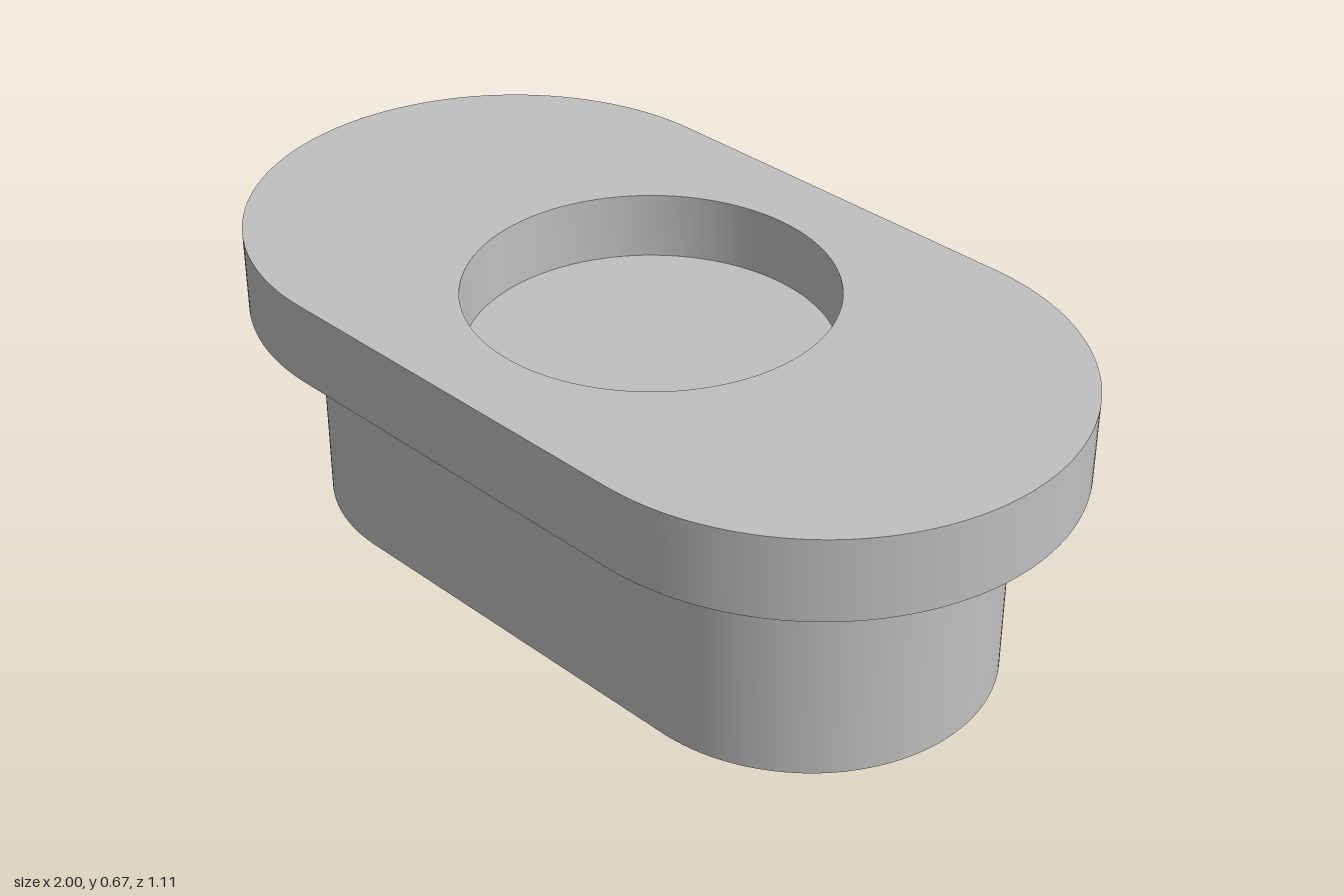
import * as THREE from 'three';
import { toCreasedNormals } from 'three/addons/utils/BufferGeometryUtils.js';

const HALF_STRAIGHT = 0.445; // distance from centre to each rounded end's axis

// Rounded slot outline with semicircular ends
function slotShape(radius) {
  const shape = new THREE.Shape();
  shape.absarc(HALF_STRAIGHT, 0, radius, -Math.PI / 2, Math.PI / 2, false);
  shape.absarc(-HALF_STRAIGHT, 0, radius, Math.PI / 2, Math.PI * 1.5, false);
  shape.closePath();
  return shape;
}

// Upright extrusion from y = bottom to y = top, smooth round its curves
function upright(shape, bottom, top) {
  const geometry = new THREE.ExtrudeGeometry(shape, {
    depth: top - bottom, bevelEnabled: false, curveSegments: 48,
  });
  geometry.rotateX(-Math.PI / 2).translate(0, bottom, 0);
  return toCreasedNormals(geometry, 0.5);
}

export function createModel() {
  const model = new THREE.Group();
  model.name = 'slottedPlug';
  const grey = new THREE.MeshStandardMaterial({ color: 0xc0c0c0 });
  grey.name = 'plain grey';

  // Lower body, whose top forms the floor of the round recess
  const body = new THREE.Mesh(upright(slotShape(0.407), 0, 0.52), grey);
  body.name = 'body';

  // Wider flange with the round recess cut through it
  const flangeShape = slotShape(0.555);
  flangeShape.holes.push(new THREE.Path().absarc(0, 0, 0.39, 0, Math.PI * 2, true));
  const flange = new THREE.Mesh(upright(flangeShape, 0.485, 0.668), grey);
  flange.name = 'flange';

  model.add(body, flange);
  return model;
}
